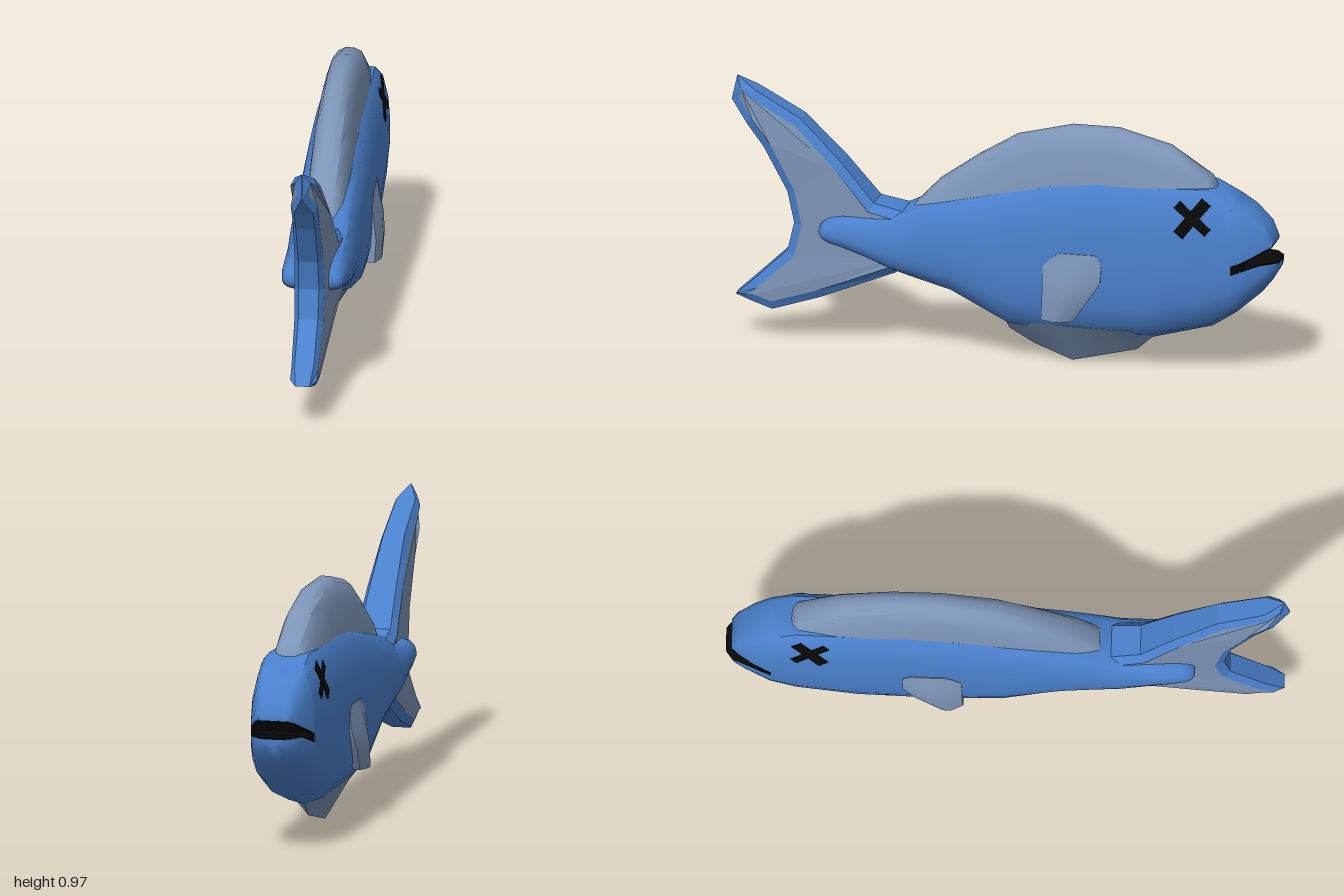
import * as THREE from 'three';
import { toCreasedNormals } from 'three/addons/utils/BufferGeometryUtils.js';

const blue = new THREE.MeshStandardMaterial({ color: 0x4a80cc });
const greyBlue = new THREE.MeshStandardMaterial({ color: 0x7d95b8 });
const black = new THREE.MeshStandardMaterial({ color: 0x080808 });
blue.name = 'skin blue';
greyBlue.name = 'fin grey blue';
black.name = 'black';

// Closed solid through rings of [x, y, z] points, turned outward by its signed volume
function loft(rings) {
  const n = rings[0].length, last = (rings.length - 1) * n;
  const p = rings.flat(), tris = [];
  for (let r = 0; r < rings.length - 1; r++) {
    for (let i = 0; i < n; i++) {
      const a = r * n + i, b = r * n + (i + 1) % n;
      tris.push([a, b, b + n], [a, b + n, a + n]);
    }
  }
  for (let i = 1; i < n - 1; i++) tris.push([0, i + 1, i], [last, last + i, last + i + 1]);
  let volume = 0;
  for (const [a, b, c] of tris) {
    const [A, B, C] = [p[a], p[b], p[c]].map(v => new THREE.Vector3(...v));
    volume += A.dot(B.cross(C));
  }
  const geo = new THREE.BufferGeometry();
  geo.setAttribute('position', new THREE.Float32BufferAttribute(p.flat(), 3));
  geo.setIndex(tris.flatMap(([a, b, c]) => volume > 0 ? [a, b, c] : [a, c, b]));
  return toCreasedNormals(geo, 0.75);
}

// Symmetric loft along z: profile is a half section of [width, height] fractions,
// stations are [z, bottom, top, halfWidth]
function hull(profile, stations) {
  return loft(stations.map(([z, bottom, top, w]) => {
    const right = profile.map(([fx, fy]) => [fx * w, bottom + fy * (top - bottom), z]);
    const left = right.filter(q => q[0] > 0).map(([x, y]) => [-x, y, z]).reverse();
    return [...right, ...left];
  }));
}

export function createModel() {
  const model = new THREE.Group();
  model.name = 'fish';
  const add = (name, geo, material, parent = model) => {
    const mesh = new THREE.Mesh(geo, material);
    mesh.name = name;
    parent.add(mesh);
    return mesh;
  };

  // Body behind the mouth corner
  const bodyProfile = [[0, 0], [0.52, 0.05], [0.82, 0.13], [0.95, 0.24], [1, 0.38], [1, 0.55],
    [0.95, 0.75], [0.78, 0.95], [0.6, 1]];
  add('body', hull(bodyProfile, [
    [-0.84, 0.23, 0.655, 0.117], [-0.75, 0.17, 0.70, 0.121], [-0.53, 0.11, 0.69, 0.123],
    [-0.35, 0.10, 0.69, 0.124], [-0.18, 0.10, 0.67, 0.125], [-0.02, 0.12, 0.635, 0.125],
    [0.19, 0.235, 0.585, 0.123], [0.31, 0.27, 0.555, 0.121], [0.4, 0.30, 0.51, 0.12],
    [0.5, 0.345, 0.50, 0.118], [0.58, 0.375, 0.498, 0.116], [0.63, 0.39, 0.487, 0.11],
    [0.655, 0.405, 0.472, 0.1], [0.665, 0.425, 0.455, 0.085],
  ]), blue);

  // Jaws around the open mouth
  add('upperJaw', hull([[1, 0], [1, 0.15], [0.95, 0.53], [0.78, 0.905], [0.6, 1]], [
    [-0.84, 0.43, 0.655, 0.117], [-0.90, 0.46, 0.622, 0.1],
    [-0.957, 0.49, 0.572, 0.074], [-0.98, 0.50, 0.52, 0.055],
  ]), blue);
  add('lowerJaw', hull([[0, 0], [0.52, 0.125], [0.82, 0.32], [0.95, 0.6], [1, 0.9], [1, 1]], [
    [-0.84, 0.23, 0.40, 0.117], [-0.93, 0.31, 0.435, 0.094],
    [-0.97, 0.36, 0.438, 0.078], [-1.0, 0.41, 0.436, 0.042],
  ]), blue);

  // Black inside of the mouth
  const slab = [[1, 0], [1, 1]];
  add('mouthBack', hull(slab, [[-0.835, 0.39, 0.44, 0.116], [-0.875, 0.405, 0.455, 0.107]]), black);
  add('mouthFloor', hull(slab, [[-0.84, 0.397, 0.405, 0.117], [-0.93, 0.432, 0.44, 0.094],
    [-0.97, 0.435, 0.443, 0.078], [-1.0, 0.433, 0.441, 0.042]]), black);
  add('mouthRoof', hull(slab, [[-0.84, 0.426, 0.434, 0.117], [-0.90, 0.456, 0.464, 0.1],
    [-0.978, 0.495, 0.502, 0.056]]), black);

  // Long rounded back fin
  add('dorsalFin', hull([[1, 0], [0.9, 0.22], [0.76, 0.65], [0.52, 0.92], [0.2, 1]], [
    [-0.768, 0.66, 0.69, 0.05], [-0.745, 0.66, 0.73, 0.068], [-0.6, 0.66, 0.83, 0.08],
    [-0.41, 0.65, 0.88, 0.082], [-0.24, 0.63, 0.88, 0.082], [-0.04, 0.60, 0.83, 0.082],
    [0.1, 0.57, 0.745, 0.08], [0.24, 0.54, 0.645, 0.076], [0.325, 0.52, 0.555, 0.06],
  ]), greyBlue);

  // Keel shaped belly fin, its flanks running into the body
  add('bellyFin', hull([[0, 0], [0.5, 0.5], [1, 1]], [
    [-0.53, 0.11, 0.14, 0.05], [-0.475, 0.06, 0.15, 0.078], [-0.24, 0.002, 0.158, 0.094],
    [-0.1, 0.055, 0.16, 0.085], [-0.01, 0.105, 0.155, 0.06],
  ]), greyBlue);

  // Forked tail: grey sides with a blue bevelled rim, thick at the root, pinched at the upper tip
  const tailShape = new THREE.Shape([
    [0.33, 0.35], [0.39, 0.30], [0.67, 0.18], [0.845, 0.12], [0.92, 0.145], [0.98, 0.165],
    [0.92, 0.22], [0.79, 0.345], [0.765, 0.45], [0.79, 0.565], [0.877, 0.725], [0.94, 0.81],
    [1.0, 0.885], [0.98, 0.975], [0.91, 0.935], [0.74, 0.84], [0.59, 0.69], [0.47, 0.55],
    [0.37, 0.53], [0.33, 0.5],
  ].map(([z, y]) => new THREE.Vector2(z, y)));
  const tail = new THREE.ExtrudeGeometry(tailShape, {
    depth: 0.068, bevelThickness: 0.014, bevelSize: 0.03, bevelOffset: -0.03, bevelSegments: 1,
  });
  tail.translate(0, 0, -0.034).rotateY(-Math.PI / 2);
  const pos = tail.attributes.position;
  for (let i = 0; i < pos.count; i++) {
    const z = pos.getZ(i);
    const grow = 1 + 0.75 * THREE.MathUtils.clamp((0.8 - z) / 0.4, 0, 1);
    const tip = pos.getY(i) > 0.5 ? 0.05 : 0.75;
    pos.setX(i, pos.getX(i) * grow * THREE.MathUtils.clamp((0.98 - z) / 0.03, tip, 1));
  }
  tail.computeVertexNormals();
  add('tailFin', tail, [greyBlue, blue]);

  for (const s of [1, -1]) {
    const side = s > 0 ? 'left' : 'right';

    // Side fin: rows of [y, front z, back z, outer x]
    add(side + 'SideFin', loft([
      [0.44, -0.35, -0.22, 0.127], [0.42, -0.37, -0.19, 0.133], [0.39, -0.372, -0.162, 0.14],
      [0.34, -0.37, -0.16, 0.153], [0.27, -0.325, -0.16, 0.16], [0.19, -0.27, -0.155, 0.155],
    ].map(([y, front, back, x]) => {
      const mid = (front + back) / 2, q = (back - front) / 4;
      const edge = Math.max(0.126, x - 0.02);
      return [[0.11, front], [edge, front], [x, mid - q / 2], [x, mid + q / 2],
        [edge, back], [0.11, back]].map(([px, z]) => [s * px, y, z]);
    })), greyBlue);

    // Crossed eye laid on the sloping cheek
    const eye = new THREE.Group();
    eye.name = side + 'Eye';
    eye.position.set(s * 0.1055, 0.6, -0.7);
    eye.rotation.z = s * 0.18;
    add('eyeStrokeA', new THREE.BoxGeometry(0.009, 0.034, 0.15), black, eye).rotation.x = -0.69;
    add('eyeStrokeB', new THREE.BoxGeometry(0.009, 0.042, 0.16), black, eye).rotation.x = 0.91;
    model.add(eye);
  }
  return model;
}
